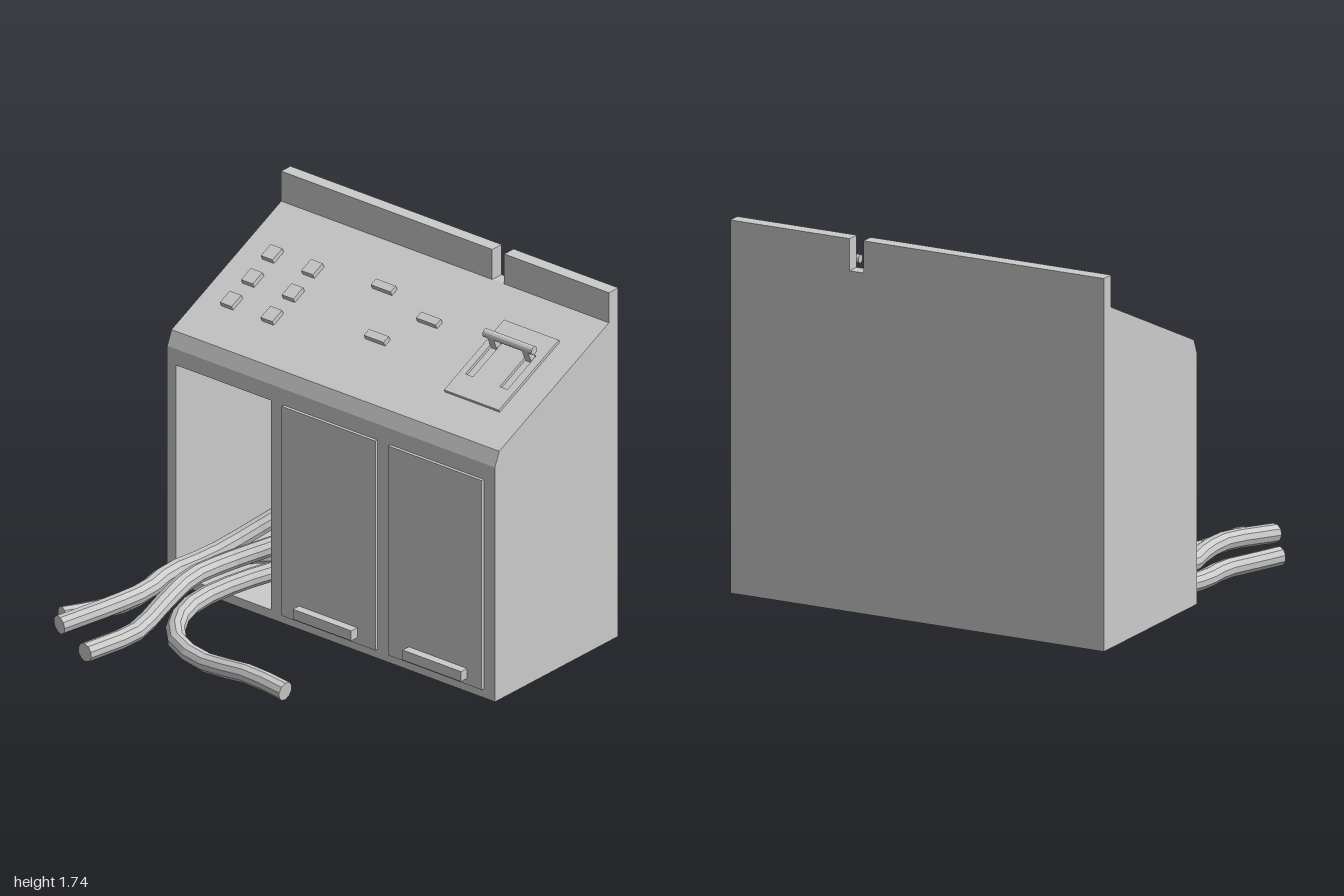
import * as THREE from 'three';

const material = new THREE.MeshStandardMaterial({ color: 0xcccccc, flatShading: true });

function add(parent, name, geometry, x = 0, y = 0, z = 0) {
  const mesh = new THREE.Mesh(geometry, material);
  mesh.name = name;
  mesh.position.set(x, y, z);
  parent.add(mesh);
  return mesh;
}

// Box given by its extents
function span(parent, name, x0, x1, y0, y1, z0, z1) {
  return add(parent, name, new THREE.BoxGeometry(x1 - x0, y1 - y0, z1 - z0),
    (x0 + x1) / 2, (y0 + y1) / 2, (z0 + z1) / 2);
}

// Side profile given as [z, y], extruded from x0 to x1
function slab(parent, name, profile, x0, x1) {
  const shape = new THREE.Shape(profile.map(([z, y]) => new THREE.Vector2(-z, y)));
  const geometry = new THREE.ExtrudeGeometry(shape, { depth: x1 - x0, bevelEnabled: false });
  geometry.rotateY(Math.PI / 2);
  return add(parent, name, geometry, x0);
}

// Hose through the given points, closed at both ends
function cable(parent, name, points) {
  const radius = 0.045, sides = 10, steps = 16;
  const curve = new THREE.CatmullRomCurve3(points.map(p => new THREE.Vector3(...p)));
  const tube = new THREE.TubeGeometry(curve, steps, radius, sides);
  const group = new THREE.Group();
  group.name = name;
  add(group, 'hose', tube);
  for (const [i, flip] of [[0, Math.PI], [steps, 0]]) {
    const cap = add(group, 'hoseEnd', new THREE.CircleGeometry(radius, sides).rotateX(flip));
    cap.quaternion.setFromRotationMatrix(
      new THREE.Matrix4().makeBasis(tube.normals[i], tube.binormals[i], tube.tangents[i]));
    cap.position.copy(curve.getPointAt(i / steps));
  }
  parent.add(group);
}

export function createModel() {
  const model = new THREE.Group();
  model.name = 'controlCabinet';

  const front = -0.015, back = -0.875, left = -0.91, right = 1;
  const openLeft = -0.86, openRight = -0.305, low = 0.045, high = 1.09;

  // Cabinet body: solid sides around an open compartment
  const roof = [[front, 1.17], [-0.045, 1.24], [-0.81, 1.59], [back, 1.59]];
  const solid = [[front, 0], ...roof, [back, 0]];
  const hollow = [[front, 0], [front, low], [-0.84, low], [-0.84, high], [front, high],
    ...roof, [back, 0]];
  slab(model, 'sidePanel', solid, left, openLeft);
  slab(model, 'openCompartment', hollow, openLeft, openRight);
  slab(model, 'cabinetBody', solid, openRight, right);

  // Upright back rail with a gap
  span(model, 'backRail', left, 0.32, 1.59, 1.74, back, -0.81);
  span(model, 'backRail', 0.39, right, 1.59, 1.74, back, -0.81);

  // Doors with handles
  for (const [x0, x1, h0] of [[-0.23, 0.315, -0.13], [0.39, 0.935, 0.51]]) {
    span(model, 'door', x0, x1, low, high, front, 0);
    span(model, 'doorHandle', h0, h0 + 0.34, 0.075, 0.125, 0, 0.042);
  }

  // Sloped console, local y is normal to the slope
  const slope = Math.atan2(0.35, 0.765);
  const along = z => (z + 0.045) / Math.cos(slope);
  const console = new THREE.Group();
  console.name = 'console';
  console.position.set(0, 1.24, -0.045);
  console.rotation.x = slope;
  model.add(console);

  // Push buttons
  const buttons = [[-0.74, -0.55], [-0.737, -0.408], [-0.745, -0.27],
    [-0.505, -0.55], [-0.5, -0.408], [-0.508, -0.27]];
  for (const [x, z] of buttons)
    add(console, 'button', new THREE.BoxGeometry(0.068, 0.024, 0.075), x, 0.012, along(z));

  // Slide switches
  for (const [x, z] of [[-0.12, -0.587], [0.205, -0.513], [0.04, -0.347]])
    add(console, 'switch', new THREE.BoxGeometry(0.115, 0.024, 0.04), x, 0.012, along(z));

  // Lever plate with two slots
  const rect = (shape, x0, x1, z0, z1) => {
    const [a, b] = [-along(z0), -along(z1)];
    shape.moveTo(x0, a).lineTo(x1, a).lineTo(x1, b).lineTo(x0, b).closePath();
    return shape;
  };
  const plate = rect(new THREE.Shape(), 0.535, 0.855, -0.222, -0.64);
  for (const x of [0.592, 0.792])
    plate.holes.push(rect(new THREE.Path(), x - 0.022, x + 0.022, -0.33, -0.53));
  add(console, 'leverPlate',
    new THREE.ExtrudeGeometry(plate, { depth: 0.014, bevelEnabled: false }).rotateX(-Math.PI / 2));

  // Lever with a round grip
  for (const x of [0.592, 0.792])
    add(console, 'leverPost', new THREE.BoxGeometry(0.036, 0.08, 0.03), x, 0.038, along(-0.513));
  add(model, 'leverGrip', new THREE.CylinderGeometry(0.02, 0.02, 0.285, 12).rotateZ(Math.PI / 2),
    0.693, 1.522, -0.485);

  // Cables spilling out of the compartment
  cable(model, 'outerCable', [[-0.28, 0.1, -0.6], [-0.5, 0.095, -0.45], [-0.73, 0.09, -0.25],
    [-0.82, 0.07, -0.02], [-0.845, 0.06, 0.16], [-0.84, 0.055, 0.36], [-0.9, 0.055, 0.52],
    [-0.963, 0.06, 0.655]]);
  cable(model, 'highCable', [[-0.28, 0.485, -0.62], [-0.38, 0.46, -0.55], [-0.575, 0.29, -0.4],
    [-0.72, 0.16, -0.1], [-0.785, 0.13, 0.12], [-0.75, 0.13, 0.33], [-0.755, 0.135, 0.5],
    [-0.85, 0.11, 0.81]]);
  cable(model, 'middleCable', [[-0.28, 0.3, -0.6], [-0.45, 0.22, -0.4], [-0.63, 0.15, -0.1],
    [-0.665, 0.14, 0.12], [-0.63, 0.1, 0.38], [-0.61, 0.06, 0.56], [-0.655, 0.055, 0.865]]);
  cable(model, 'curvedCable', [[-0.28, 0.17, -0.5], [-0.42, 0.13, -0.25], [-0.53, 0.1, -0.02],
    [-0.57, 0.08, 0.2], [-0.52, 0.07, 0.38], [-0.38, 0.065, 0.54], [-0.19, 0.05, 0.585],
    [0.08, 0.07, 0.585], [0.28, 0.052, 0.585]]);

  return model;
}
